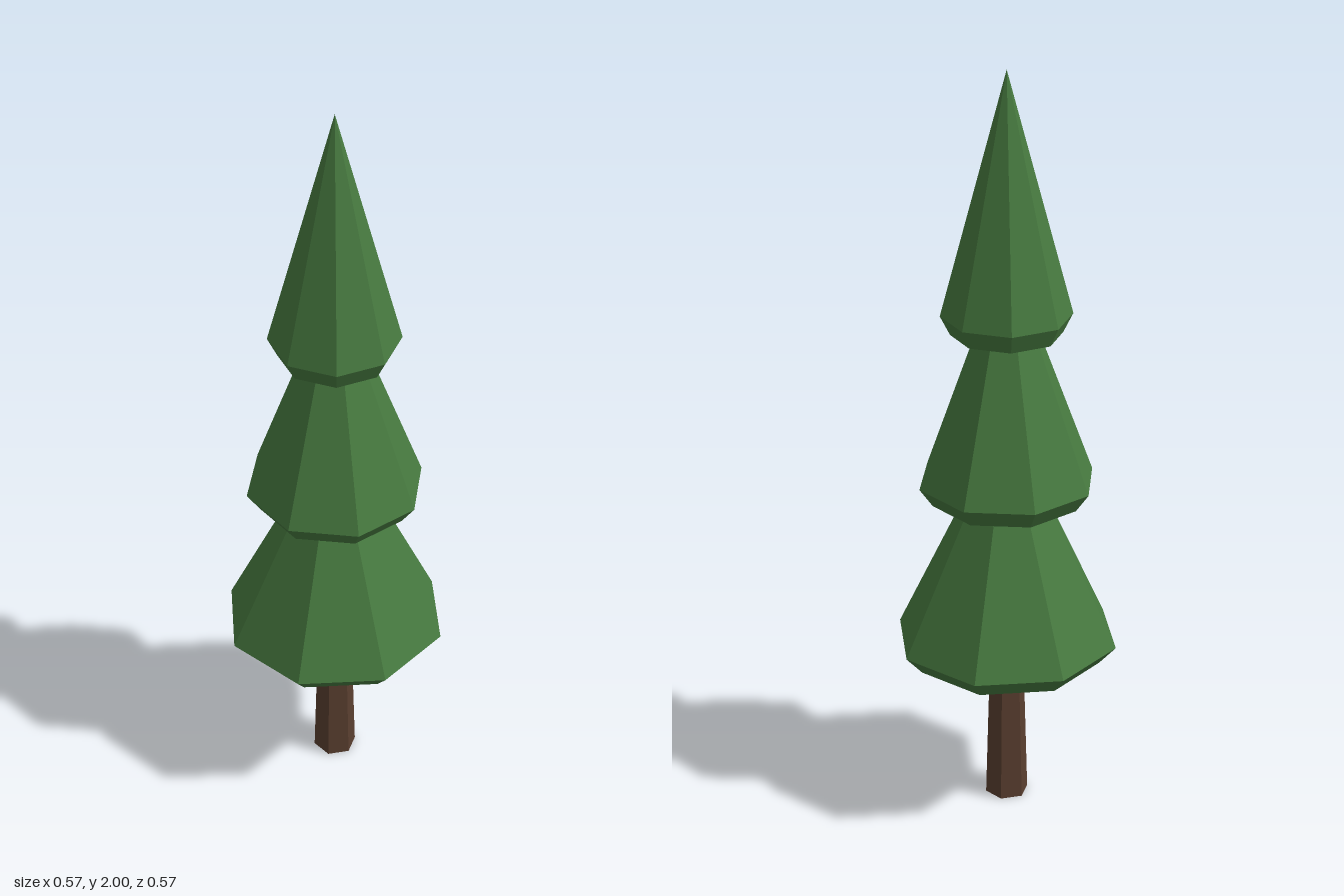
import * as THREE from 'three';

export function createModel() {
  const tree = new THREE.Group();
  tree.name = 'pineTree';

  const needles = new THREE.MeshStandardMaterial({ color: 0x477a40, flatShading: true });
  needles.name = 'needleGreen';
  const bark = new THREE.MeshStandardMaterial({ color: 0x5a3f30, flatShading: true });
  bark.name = 'barkBrown';

  // Tapered six-sided trunk, running up into the lowest tier
  const trunk = new THREE.Mesh(
    new THREE.CylinderGeometry(0.044, 0.058, 0.48, 6, 1, false, Math.PI / 6), bark);
  trunk.position.y = 0.24;
  trunk.name = 'trunk';
  tree.add(trunk);

  // Eight-sided foliage tier: flat underside, bevelled rim, pointed cone
  const addTier = (name, y, radius, turn) => {
    const profile = [[0, 0], [radius * 0.85, 0], [radius, 0.05], [0, 0.675]]
      .map(([r, h]) => new THREE.Vector2(r, h));
    const geometry = new THREE.LatheGeometry(profile, 8, THREE.MathUtils.degToRad(turn));
    const tier = new THREE.Mesh(geometry, needles);
    tier.position.y = y;
    tier.name = name;
    tree.add(tier);
  };

  // Each tier is smaller and twisted against the one below
  addTier('lowerFoliage', 0.425, 0.298, 29.4);
  addTier('middleFoliage', 0.875, 0.234, 18);
  addTier('upperFoliage', 1.325, 0.168, 4.6);

  return tree;
}
